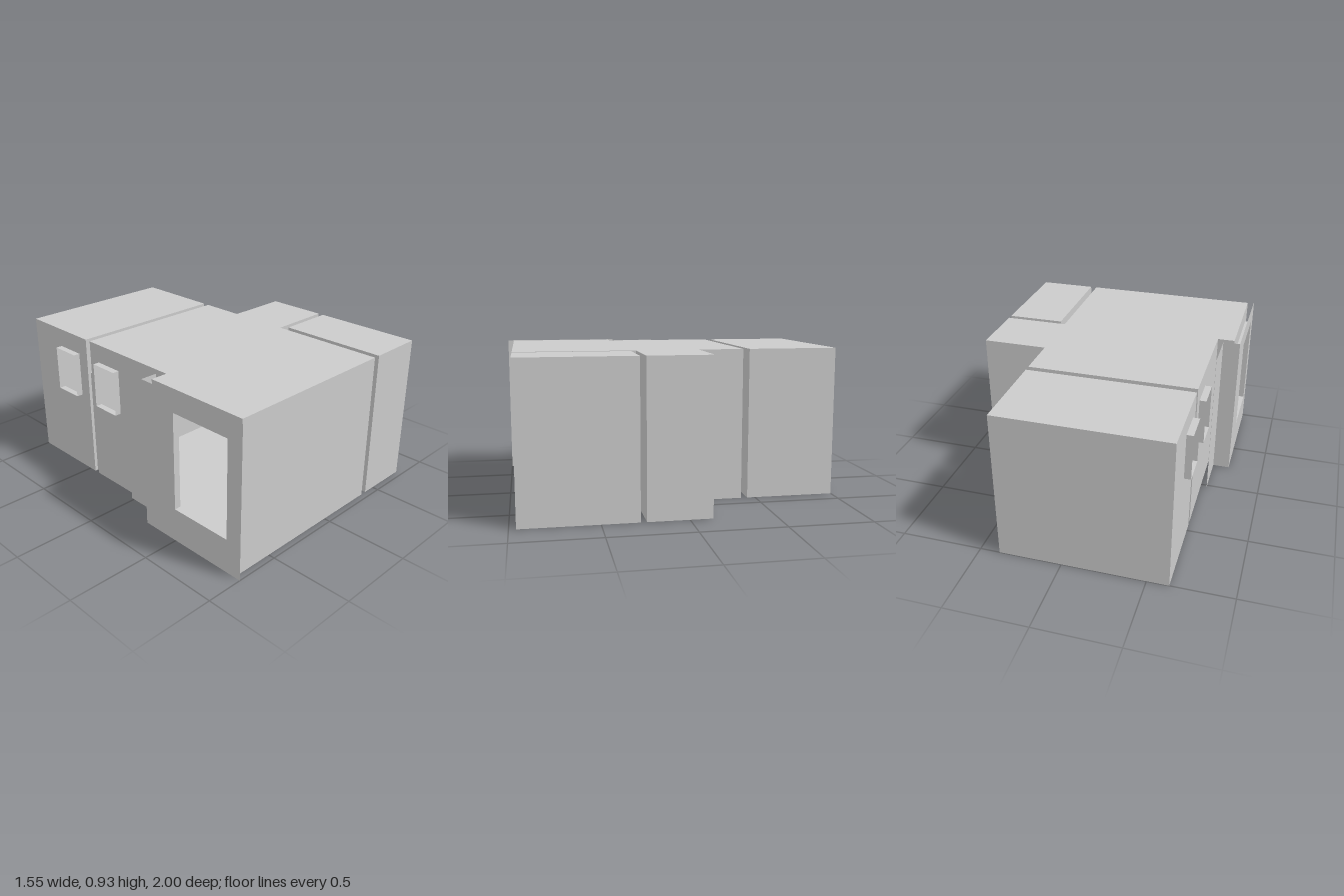
import * as THREE from 'three';

const H = 0.925;
const material = new THREE.MeshStandardMaterial({ color: 0xcccccc, side: THREE.DoubleSide });

// Opening along a wall: from a to b (world x or z), from y0 to y1
const smallWindow = (a, b) => ({ a, b, y0: 0.53, y1: 0.81 });
const bigWindow = { a: 0.5, b: 0.9, y0: 0.21, y1: 0.81 };
const backDoor = { a: -0.61, b: -0.31, y0: 0, y1: 0.7 };
const sideDoor = { a: 0.465, b: 0.745, y0: 0, y1: 0.7 };
const backWindow = smallWindow(-0.72, -0.53);
const hallWindow = smallWindow(-0.33, -0.14);

function addMesh(parent, geometry, name) {
  const mesh = new THREE.Mesh(geometry, material);
  mesh.name = name;
  parent.add(mesh);
  return mesh;
}

// Upright sheet between two plan points, with an optional door or window cut out
function wall(parent, name, [x1, z1], [x2, z2], open, y0 = 0, y1 = H) {
  const length = Math.hypot(x2 - x1, z2 - z1);
  const outline = [[0, y0]];
  const shape = new THREE.Shape();
  const toPoints = list => list.map(p => new THREE.Vector2(...p));
  if (open) {
    const start = Math.abs(x2 - x1) > Math.abs(z2 - z1) ? x1 : z1;
    const [u, v] = [Math.abs(open.a - start), Math.abs(open.b - start)].sort((p, q) => p - q);
    const cut = [[u, open.y0], [u, open.y1], [v, open.y1], [v, open.y0]];
    if (open.y0 === 0) outline.push(...cut);
    else shape.holes.push(new THREE.Path(toPoints(cut)));
  }
  outline.push([length, y0], [length, y1], [0, y1]);
  shape.setFromPoints(toPoints(outline));
  const mesh = addMesh(parent, new THREE.ShapeGeometry(shape), name);
  mesh.rotation.y = -Math.atan2(z2 - z1, x2 - x1);
  mesh.position.set(x1, 0, z1);
}

// Level sheet from a plan outline
function slab(parent, name, plan, y) {
  const shape = new THREE.Shape(plan.map(p => new THREE.Vector2(...p)));
  const mesh = addMesh(parent, new THREE.ShapeGeometry(shape).rotateX(Math.PI / 2), name);
  mesh.position.y = y;
}

// Hollow room: floor, ceiling and one wall per edge; openings are keyed by edge
function room(parent, name, plan, openings = {}) {
  const group = new THREE.Group();
  group.name = name;
  slab(group, 'floor', plan, 0);
  slab(group, 'ceiling', plan, H);
  plan.forEach((p, i) => wall(group, 'wall', p, plan[(i + 1) % plan.length], openings[i]));
  parent.add(group);
}

// Lining of an opening through the wall thickness, from c to d across the wall
function reveal(parent, name, open, c, d, alongX) {
  const group = new THREE.Group();
  group.name = name;
  const at = (along, across) => (alongX ? [along, across] : [across, along]);
  const { a, b, y0, y1 } = open;
  const plan = [at(a, c), at(b, c), at(b, d), at(a, d)];
  slab(group, 'sill', plan, y0);
  slab(group, 'lintel', plan, y1);
  for (const s of [a, b]) wall(group, 'jamb', at(s, c), at(s, d), null, y0, y1);
  parent.add(group);
}

export function createModel() {
  const model = new THREE.Group();
  model.name = 'apartment';

  // Rooms
  room(model, 'backRoom',
    [[-0.63, -1], [0.38, -1], [0.38, -0.45], [-0.63, -0.45]],
    { 2: backDoor, 3: backWindow });
  room(model, 'mainRoom',
    [[-0.63, -0.41], [0.38, -0.41], [0.38, -0.135], [0.775, -0.135], [0.775, 0.245],
      [0.38, 0.245], [0.38, 0.96], [-0.735, 0.96], [-0.735, 0.29], [-0.63, 0.29]],
    { 0: backDoor, 5: sideDoor, 7: bigWindow, 9: hallWindow });
  room(model, 'sideRoom',
    [[0.42, 0.28], [0.775, 0.28], [0.775, 0.96], [0.42, 0.96]],
    { 3: sideDoor });

  // Door and window linings
  reveal(model, 'backDoorway', backDoor, -0.45, -0.41, true);
  reveal(model, 'sideDoorway', sideDoor, 0.38, 0.42, false);
  reveal(model, 'backWindow', backWindow, -0.67, -0.63, false);
  reveal(model, 'hallWindow', hallWindow, -0.67, -0.63, false);
  reveal(model, 'largeWindow', bigWindow, -0.775, -0.735, false);

  // Outer facade sheet standing off the main room
  const facade = [[-0.67, -0.02], [-0.67, 0.25], [-0.775, 0.25], [-0.775, 1]];
  for (let i = 0; i < 3; i++) {
    wall(model, 'facade', facade[i], facade[i + 1], i === 2 ? bigWindow : null);
  }
  return model;
}
